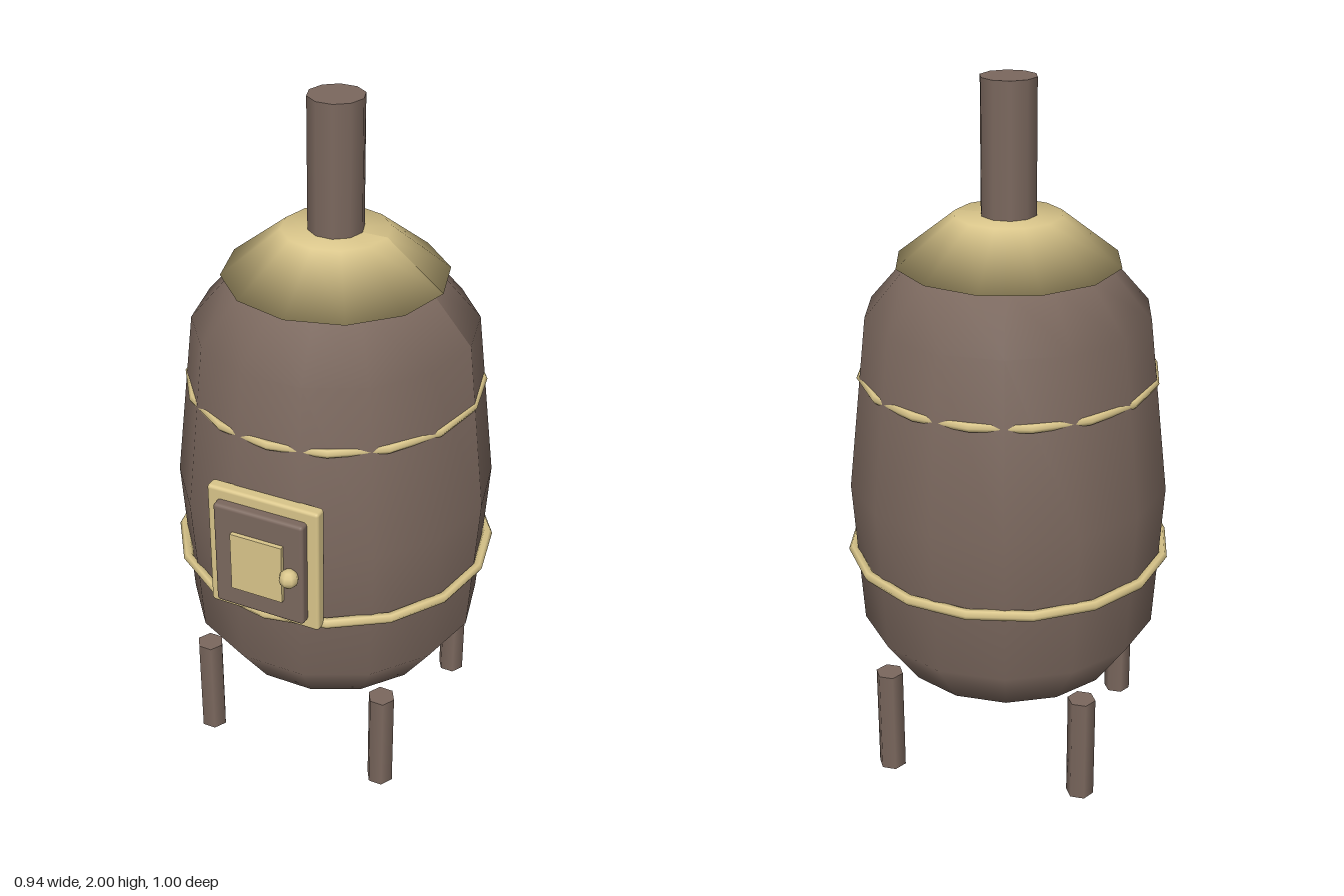
import * as THREE from 'three';
import { RoundedBoxGeometry } from 'three/addons/geometries/RoundedBoxGeometry.js';

export function createModel() {
  const model = new THREE.Group();
  model.name = 'barrelStove';
  const iron = new THREE.MeshStandardMaterial({ color: 0x7b685e });
  iron.name = 'brown iron';
  const brass = new THREE.MeshStandardMaterial({ color: 0xd9c58a });
  brass.name = 'pale brass';

  const axisZ = -0.03; // the barrel sits slightly behind the centre, the door in front

  const add = (name, geometry, material, x, y, z) => {
    const mesh = new THREE.Mesh(geometry, material);
    mesh.name = name;
    mesh.position.set(x, y, z);
    model.add(mesh);
    return mesh;
  };

  // Smooth turned shape with its first corner on +x
  const turned = (profile, sides) => {
    const g = new THREE.LatheGeometry(profile.map(([r, y]) => new THREE.Vector2(r, y)), sides);
    g.computeVertexNormals();
    return g.rotateY(Math.PI / 2);
  };
  const post = (r, h, sides) => new THREE.CylinderGeometry(r, r, h, sides).rotateY(Math.PI / 2);

  // Barrel body
  add('body', turned([
    [0, 0.29], [0.33, 0.29], [0.43, 0.43], [0.457, 0.86], [0.4, 1.36], [0.28, 1.5], [0, 1.5],
  ], 14), iron, 0, 0, axisZ);

  // Cap and chimney
  add('cap', turned([
    [0, 1.5], [0.315, 1.5], [0.15, 1.63], [0, 1.63],
  ], 12), brass, 0, 0, axisZ);
  add('chimney', post(0.078, 0.45, 10), iron, 0, 1.775, axisZ);

  // Hoops around the barrel
  for (const [name, y, r, tube] of [['lowerHoop', 0.645, 0.454, 0.015], ['upperHoop', 1.177, 0.414, 0.013]]) {
    add(name, new THREE.TorusGeometry(r, tube, 6, 16).rotateX(Math.PI / 2), brass, 0, y, axisZ);
  }

  // Four legs
  for (const sx of [1, -1]) {
    for (const sz of [1, -1]) {
      const name = (sz > 0 ? 'front' : 'back') + (sx > 0 ? 'Left' : 'Right') + 'Leg';
      add(name, post(0.04, 0.315, 6), iron, sx * 0.285, 0.1575, axisZ + sz * 0.285);
    }
  }

  // Door: frame, panel, window and knob
  add('doorFrame', new RoundedBoxGeometry(0.335, 0.39, 0.04, 2, 0.01), brass, 0, 0.835, 0.408);
  add('doorPanel', new RoundedBoxGeometry(0.27, 0.325, 0.04, 2, 0.01), iron, 0, 0.833, 0.436);
  add('doorWindow', new THREE.BoxGeometry(0.155, 0.18, 0.02), brass, 0, 0.83, 0.459);
  add('doorKnob', new THREE.SphereGeometry(0.028, 8, 6), brass, 0.1, 0.83, 0.47);

  return model;
}
